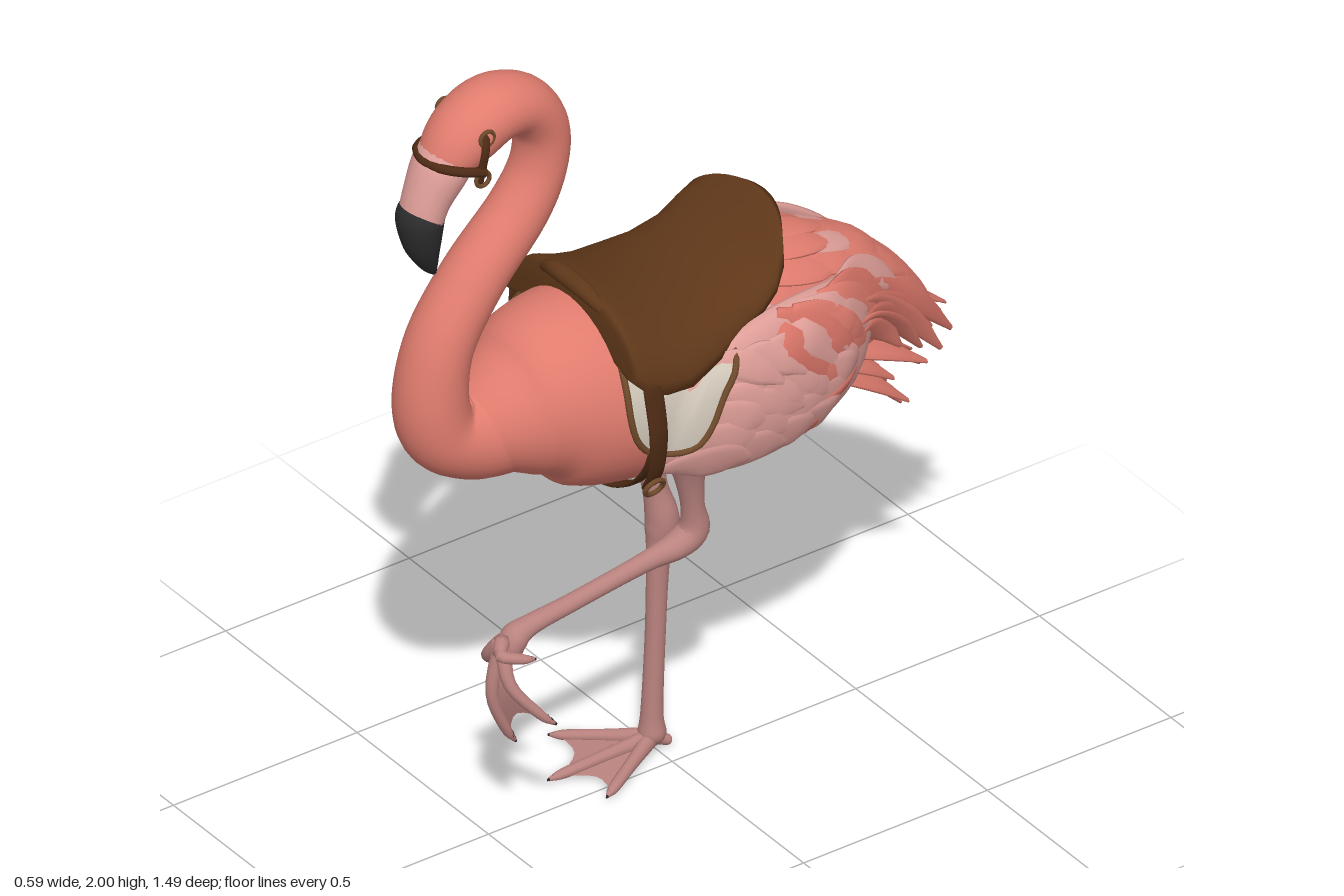
import * as THREE from 'three';

const mat = (name, color, side = THREE.FrontSide) => {
  const m = new THREE.MeshStandardMaterial({ color, side });
  m.name = name;
  return m;
};
const V = (x, y, z) => new THREE.Vector3(x, y, z);
const { lerp, clamp } = THREE.MathUtils;

// Closed skin over a list of rings of points
function skin(rings) {
  const n = rings[0].length, pos = [], idx = [];
  rings.forEach(r => r.forEach(p => pos.push(p.x, p.y, p.z)));
  for (let i = 0; i < rings.length - 1; i++) for (let j = 0; j < n; j++) {
    const a = i * n + j, b = i * n + (j + 1) % n;
    idx.push(a, b, a + n, b, b + n, a + n);
  }
  [0, rings.length - 1].forEach(e => {
    const c = rings[e].reduce((s, p) => s.add(p), V(0, 0, 0)).divideScalar(n);
    const k = pos.length / 3;
    pos.push(c.x, c.y, c.z);
    for (let j = 0; j < n; j++) {
      const a = e * n + j, b = e * n + (j + 1) % n;
      if (e) idx.push(k, a, b); else idx.push(k, b, a);
    }
  });
  const g = new THREE.BufferGeometry();
  g.setAttribute('position', new THREE.Float32BufferAttribute(pos, 3));
  g.setIndex(idx);
  g.computeVertexNormals();
  return g;
}

// Smooth elliptical loft through [x, y, z, a, b]; a lies along ref, b across it
function loft(pts, ref = V(1, 0, 0), steps = 5, sides = 20) {
  const path = new THREE.CatmullRomCurve3(pts.map(p => V(p[0], p[1], p[2])), false, 'catmullrom');
  const rad = new THREE.CatmullRomCurve3(pts.map(p => V(p[3], p[4], 0)), false, 'catmullrom');
  const count = (pts.length - 1) * steps, rings = [];
  for (let i = 0; i <= count; i++) {
    const t = i / count, c = path.getPoint(t), r = rad.getPoint(t), T = path.getTangent(t);
    const S = ref.clone().addScaledVector(T, -ref.dot(T)).normalize(), N = T.clone().cross(S);
    rings.push(Array.from({ length: sides }, (_, j) => {
      const q = j / sides * Math.PI * 2;
      return c.clone().addScaledVector(S, Math.max(r.x, 0.001) * Math.cos(q))
        .addScaledVector(N, Math.max(r.y, 0.001) * Math.sin(q));
    }));
  }
  return skin(rings);
}

// Cross-sections of the torso and of one wing, front to back
const BODY = [[0, 1.1, .62, .04, .05], [0, 1.1, .55, .1, .1], [0, 1.11, .45, .16, .16], [0, 1.12, .35, .205, .22],
  [0, 1.1, .2, .235, .24], [0, 1.08, 0, .24, .235], [0, 1.08, -.2, .22, .23], [0, 1.1, -.35, .17, .175],
  [0, 1.11, -.5, .115, .085], [0, 1.03, -.62, .065, .04], [0, .95, -.69, .03, .015]];
const WING = [[.205, 1.04, .22, .015, .05], [.215, 1.05, .13, .045, .13], [.22, 1.07, 0, .058, .175],
  [.215, 1.09, -.15, .058, .185], [.185, 1.1, -.3, .055, .16], [.1, 1.11, -.45, .04, .09], [.06, 1.04, -.56, .02, .04]];
function at(list, z) {
  let i = 0;
  while (i < list.length - 2 && z < list[i + 1][2]) i++;
  const p = list[i], q = list[i + 1], t = clamp((z - p[2]) / (q[2] - p[2]), 0, 1);
  return p.map((v, k) => lerp(v, q[k], t));
}
const flank = (y, z) => Math.max(.02, ...[BODY, WING].map(list => {
  const [x, cy, , a, b] = at(list, z), k = 1 - ((y - cy) / b) ** 2;
  return k > 0 ? x + a * Math.sqrt(k) : 0;
}));
const backY = (x, z) => {
  const [, cy, , a, b] = at(BODY, z);
  return cy + b * Math.sqrt(Math.max(0, 1 - (x / a) ** 2));
};

export function createModel() {
  const coral = mat('coral plumage', 0xe07c6e), deep = mat('deep coral plumage', 0xda7568);
  const pale = mat('pale pink plumage', 0xdf9e98), legPink = mat('leg pink', 0xb9827e, THREE.DoubleSide);
  const black = mat('beak black', 0x2c2c2d), brown = mat('saddle leather', 0x5f3719);
  const strap = mat('strap leather', 0x4e2b15), cream = mat('cream pad', 0xcdc4b6, THREE.DoubleSide);
  const brass = mat('braided trim', 0x6f4a2b);
  const model = new THREE.Group();
  const add = (name, geo, m, parent = model) => {
    const o = new THREE.Mesh(geo, m);
    o.name = name;
    parent.add(o);
    return o;
  };
  const tube = (name, pts, r, m) => add(name, new THREE.TubeGeometry(new THREE.CatmullRomCurve3(pts), 32, r, 8), m);

  // Torso, neck and head
  add('body', loft(BODY, V(1, 0, 0), 5, 36), coral);
  add('neckAndHead', loft([[0, 1.1, .42, .13, .14], [0, 1.09, .54, .11, .115], [0, 1.125, .63, .095, .092],
    [0, 1.22, .658, .089, .085], [0, 1.36, .632, .083, .077], [0, 1.5, .54, .078, .073], [0, 1.63, .42, .073, .069],
    [0, 1.73, .365, .07, .063], [0, 1.83, .36, .071, .063], [0, 1.905, .41, .078, .068], [0, 1.925, .49, .087, .076],
    [0, 1.895, .56, .086, .078], [0, 1.85, .61, .074, .066], [0, 1.8, .64, .05, .045]], V(1, 0, 0), 6, 28), coral);
  add('beakBase', loft([[0, 1.865, .6, .07, .06], [0, 1.82, .634, .072, .062], [0, 1.76, .667, .061, .054],
    [0, 1.71, .685, .056, .05]]), pale);
  add('beakTip', loft([[0, 1.725, .68, .055, .048], [0, 1.705, .687, .06, .053], [0, 1.64, .682, .048, .042],
    [0, 1.58, .664, .025, .022], [0, 1.548, .648, .006, .006]]), black);

  // Feathers: thin blunt lofts
  const plume = (name, p, w, ref, m, parent = model) => {
    const prof = [.4, 1, .95, .2];
    add(name, loft(p.map((v, i) => [v.x, v.y, v.z, .009 * (i === 3 ? .4 : 1), w * prof[i]]), ref, 4, 10), m, parent);
  };
  for (const s of [1, -1]) {
    const wing = new THREE.Group();
    wing.name = s > 0 ? 'leftWing' : 'rightWing';
    model.add(wing);
    add('wingShell', loft(WING.map(p => [s * p[0], ...p.slice(1)]), V(1, 0, 0), 5, 24), pale, wing);
    const feather = (name, z0, y0, z1, y1, w, m, xTip = 0, arch = .02) => {
      const x0 = flank(y0, z0);
      const p = [0, .33, .7, 1].map(t => {
        const z = lerp(z0, z1, t), y = lerp(y0, y1, t) + arch * Math.sin(Math.PI * t);
        return V(s * (Math.max(flank(y, z), lerp(x0, xTip, t ** .75)) + .012 * t - .002), y, z);
      });
      const ym = (y0 + y1) / 2, zm = (z0 + z1) / 2;
      const ref = V(s, clamp((flank(ym - .02, zm) - flank(ym + .02, zm)) / .04, -.7, .7),
        clamp((flank(ym, zm - .02) - flank(ym, zm + .02)) / .04, -.7, .7));
      plume(name, p, w, ref.normalize(), m, wing);
    };
    for (let i = 0; i < 4; i++)
      feather('thighFeather', -.1 - .03 * i, .9 + .03 * i, -.44 - .03 * i, .93 + .02 * i, .036, i % 2 ? deep : coral, .06, .015);
    for (let i = 0; i < 6; i++)
      feather('primaryFeather', -.33, 1.21 - .025 * i, -.73 + .036 * i, .89 + .022 * i - (i % 2) * .055, .03, i % 2 ? coral : deep, .03 + .012 * i, .05);
    for (let i = 0; i < 8; i++)
      feather('secondaryFeather', -.04 - .04 * i, 1.27 - .003 * i, -.27 - .04 * i, 1.03 + .01 * i, .038, i % 3 === 1 ? pale : i % 2 ? coral : deep, .13 - .006 * i, .03);
    for (let r = 0; r < 3; r++) for (let c = 0; c < 4; c++)
      feather('lowerCovert', .18 - .1 * c - .02 * r, .96 + .055 * r, -.02 - .1 * c - .02 * r, .945 + .045 * r, .05, pale);
    for (let r = 0; r < 2; r++) for (let c = 0; c < 6; c++)
      feather('upperCovert', .06 - .065 * c, 1.14 + .07 * r, -.1 - .065 * c, 1.03 + .09 * r, .036, c > 2 && (r + c) % 2 ? coral : pale);
  }
  // Overlapping feathers along the back
  for (let r = 0; r < 5; r++) for (let k = -2; k <= 2; k++) {
    const z0 = -.15 - .08 * r, z1 = z0 - .27 + .025 * Math.abs(k), spread = .058 - .006 * r;
    const p = [0, .33, .7, 1].map(t => {
      const z = lerp(z0, z1, t), x = k * spread * (1 - .5 * t * r / 4), a = at(BODY, z)[3] * .95;
      return V(x, backY(clamp(x, -a, a), z) + .006 + .014 * t - (r === 4 ? .05 * t * t : 0), z);
    });
    plume('backFeather', p, .045, V(k * .25, 1, -.4).normalize(), r === 1 && Math.abs(k) === 1 ? pale : coral);
  }
  // Narrow tail fan under the wing tips
  [[-.62, .715], [-.58, .79], [-.67, .8]].forEach(([z, y], layer) => {
    for (let k = -1; k <= 1; k++)
      plume('tailFeather', [0, .33, .7, 1].map(t => V(k * lerp(.07, .03, t), lerp(.97 + .02 * layer, y + .02 * Math.abs(k), t)
        + .035 * Math.sin(Math.PI * t), lerp(-.26, z, t))), .036, V(k * .5, 1, -.6).normalize(), k ? coral : deep);
  });

  // Legs and webbed feet
  add('standingLeg', loft([[-.085, .93, .02, .075, .08], [-.082, .83, .015, .044, .042], [-.077, .7, -.005, .031, .029],
    [-.07, .62, -.02, .039, .037], [-.07, .57, -.022, .038, .039], [-.07, .5, -.012, .027, .027], [-.07, .3, -.004, .024, .023],
    [-.07, .1, .005, .026, .025], [-.07, .04, .005, .032, .032], [-.07, .012, .01, .015, .015]]), legPink);
  add('raisedLeg', loft([[.08, .93, .02, .075, .08], [.075, .83, .01, .04, .042], [.07, .72, -.005, .028, .027],
    [.065, .65, -.012, .035, .037], [.062, .62, .03, .035, .033], [.06, .605, .12, .023, .023], [.06, .575, .32, .022, .021],
    [.06, .56, .43, .026, .024], [.06, .54, .475, .034, .032], [.06, .49, .487, .024, .024]]), legPink);
  // Toe tips are [x, z, drop]; a web joins each neighbouring pair of the first three
  const foot = (name, tips, arch) => {
    const g = new THREE.Group();
    g.name = name;
    const toe = ([x, z, drop], t) => V(x * t, .03 - .024 * t + arch * Math.sin(Math.PI * t) - drop * t, z * t);
    tips.forEach(tip => {
      const part = (t, a, b) => [...toe(tip, t).toArray(), a, b];
      add('toe', loft([part(0, .02, .022), part(.45, .015, .015), part(.85, .013, .012), part(1, .004, .005)],
        V(1, 0, .01), 4, 10), legPink, g);
      add('claw', loft([part(.92, .01, .01), part(1.02, .002, .003)], V(1, 0, .01), 2, 8), black, g);
    });
    for (let i = 0; i < 2; i++) {
      const web = new THREE.PlaneGeometry(1, 1, 6, 6), P = web.attributes.position;
      for (let r = 0; r <= 6; r++) for (let c = 0; c <= 6; c++) {
        const t = .9 * r / 6 * (1 - .16 * Math.sin(Math.PI * c / 6));
        const p = toe(tips[i], t).lerp(toe(tips[i + 1], t), c / 6);
        P.setXYZ(r * 7 + c, p.x, p.y - .004, p.z);
      }
      web.computeVertexNormals();
      add('web', web, legPink, g);
    }
    model.add(g);
    return g;
  };
  foot('standingFoot', [[-.165, .16, 0], [-.02, .265, 0], [.11, .2, 0], [.01, -.045, 0]], 0).position.set(-.07, 0, .005);
  const raised = foot('raisedFoot', [[-.105, .13, .06], [0, .275, .01], [.095, .195, .05], [.075, .02, .01]], .045);
  raised.position.set(.06, .545, .475);
  raised.rotation.x = Math.PI / 2;

  // Saddle: arched sections [z, half width, crown y, edge y, sweep of the sides], back to front
  const seat = [[-.25, .14, 1.425, 1.375, .05], [-.232, .185, 1.435, 1.345, .06], [-.19, .203, 1.41, 1.3, .05],
    [-.12, .212, 1.36, 1.27, .02], [-.03, .225, 1.335, 1.245, 0], [.05, .25, 1.335, 1.215, 0], [.13, .262, 1.35, 1.185, 0],
    [.2, .262, 1.372, 1.19, 0], [.25, .258, 1.395, 1.21, 0], [.27, .25, 1.395, 1.23, 0], [.28, .24, 1.38, 1.24, 0]];
  add('saddle', skin(seat.map(([z, w, top, edge, sweep]) => {
    const arch = d => Array.from({ length: 25 }, (_, j) => {
      const q = j / 24 * Math.PI, u = Math.cos(q);
      return V((w - d) * u, edge + (top - edge - d) * Math.pow(Math.sin(q), .9), z + sweep * u * u);
    });
    return arch(0).concat(arch(.022).reverse());
  })), brown);
  add('pommelRoll', loft([[-.12, 1.355, .265, .012, .012], [-.06, 1.385, .278, .02, .02], [0, 1.39, .28, .022, .022],
    [.06, 1.385, .278, .02, .02], [.12, 1.355, .265, .012, .012]], V(0, 0, 1)), brown);

  // Pads, girth and bridle
  const padRows = [[1.27, .27, -.03], [1.2, .28, .02], [1.14, .28, .06], [1.08, .265, .09], [1.04, .235, .12], [1.025, .2, .15]];
  for (const s of [1, -1]) {
    const on = (y, z, d) => V(s * (flank(y, z) + d), y, z);
    const pad = new THREE.PlaneGeometry(1, 1, 10, padRows.length - 1), P = pad.attributes.position;
    padRows.forEach(([y, f, b], i) => {
      for (let j = 0; j <= 10; j++) {
        const p = on(y, lerp(f, b, j / 10), .018);
        P.setXYZ(i * 11 + j, p.x, p.y, p.z);
      }
    });
    pad.computeVertexNormals();
    add('saddlePad', pad, cream);
    const rim = padRows.map(([y, f]) => on(y, f, .018)).concat(padRows.map(([y, , b]) => on(y, b, .018)).reverse());
    tube('padTrim', rim, .008, brass);
    add('girthStrap', loft([[s * .255, 1.22, .235, .026, .006], [s * .27, 1.1, .23, .025, .006],
      [s * .255, 1.0, .225, .023, .006], [s * .225, .94, .222, .023, .006]], V(0, 0, 1), 5, 12), strap);
    const buckle = add('girthBuckle', new THREE.TorusGeometry(.024, .006, 8, 20), brass);
    buckle.position.set(s * .245, .945, .224);
    buckle.rotation.set(0, Math.PI / 2, -s * .4, 'ZYX');
    add('cheekStrap', loft([[s * .072, 1.93, .56, .011, .006], [s * .09, 1.89, .572, .011, .006],
      [s * .084, 1.84, .577, .011, .006], [s * .078, 1.8, .578, .008, .005]], V(0, 0, 1), 5, 10), strap);
    [[1.915, .563, .083], [1.815, .577, .086]].forEach(([y, z, x]) => {
      const ring = add('bridleRing', new THREE.TorusGeometry(.018, .005, 8, 18), brass);
      ring.position.set(s * x, y, z);
      ring.rotation.y = Math.PI / 2;
    });
  }
  const under = [];
  for (let i = 0; i <= 14; i++) {
    const q = Math.PI * (1.08 + .84 * i / 14);
    under.push([.25 * Math.cos(q), 1.105 + .252 * Math.sin(q), .215, .023, .006]);
  }
  add('bellyGirth', loft(under, V(0, 0, 1), 3, 10), strap);
  tube('noseband', [V(-.085, 1.83, .57), V(-.078, 1.845, .62), V(-.05, 1.853, .658), V(0, 1.855, .676),
    V(.05, 1.853, .658), V(.078, 1.845, .62), V(.085, 1.83, .57)], .012, strap);
  return model;
}
